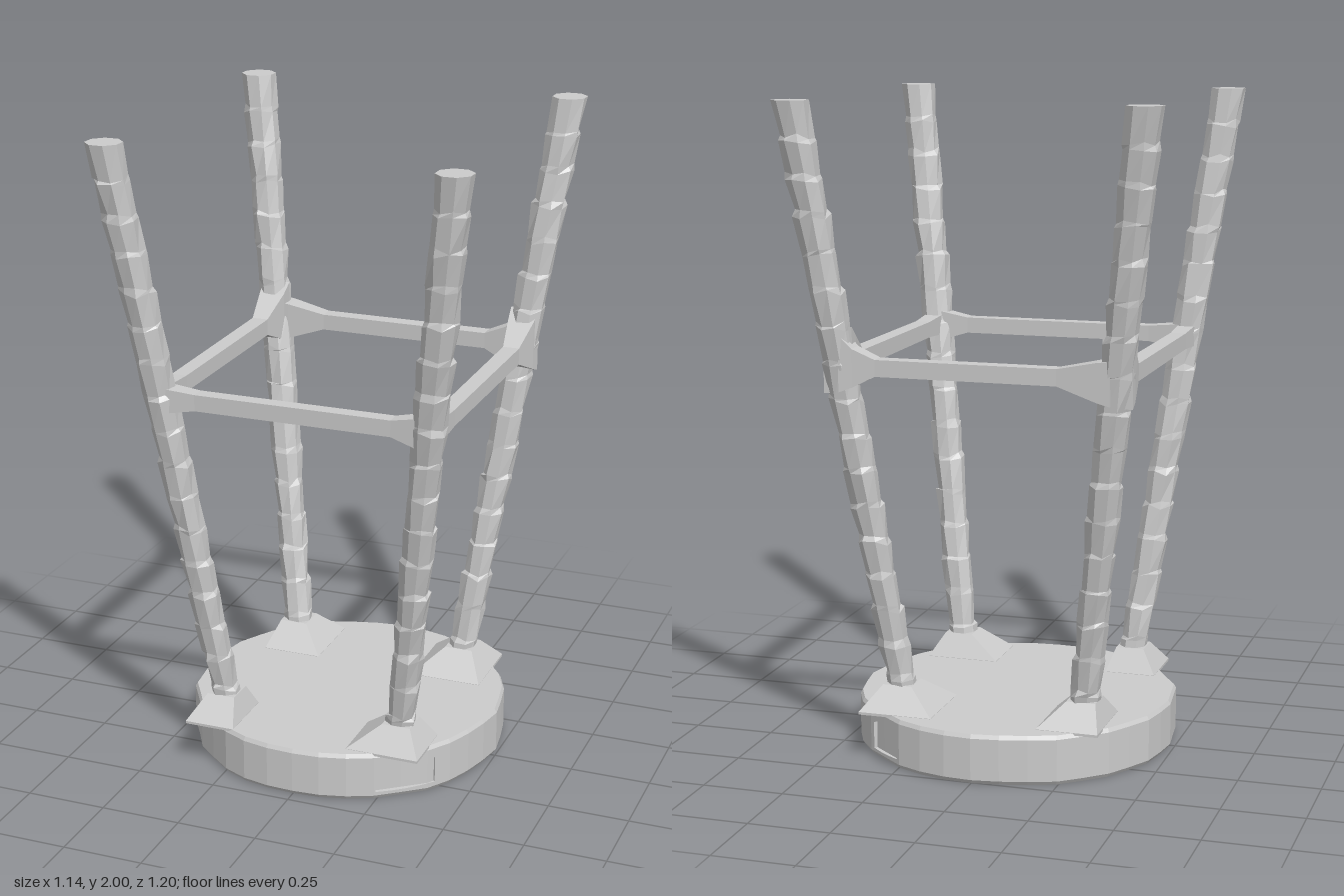
import * as THREE from 'three';

const material = new THREE.MeshStandardMaterial({ color: 0xcccccc, flatShading: true });
const SEAT_Z = -0.02;

// Small seeded noise source in -1..1
function makeNoise(seed) {
  let s = seed;
  return () => {
    s = (s * 16807) % 2147483647;
    return (s / 2147483647) * 2 - 1;
  };
}

// Skin a list of equal-length rings (counter-clockwise about the path) and cap both ends
function loft(rings) {
  const n = rings[0].length;
  const pos = [];
  const tri = (a, b, c) => pos.push(...a, ...b, ...c);
  for (let i = 0; i < rings.length - 1; i++) {
    for (let j = 0; j < n; j++) {
      const k = (j + 1) % n;
      const a = rings[i][j], b = rings[i][k], c = rings[i + 1][k], d = rings[i + 1][j];
      tri(a, b, c);
      tri(a, c, d);
    }
  }
  const first = rings[0], last = rings[rings.length - 1];
  for (let j = 1; j < n - 1; j++) {
    tri(first[0], first[j + 1], first[j]);
    tri(last[0], last[j], last[j + 1]);
  }
  const geometry = new THREE.BufferGeometry();
  geometry.setAttribute('position', new THREE.Float32BufferAttribute(pos, 3));
  geometry.computeVertexNormals();
  return geometry;
}

function part(name, geometry) {
  const mesh = new THREE.Mesh(geometry, material);
  mesh.name = name;
  return mesh;
}

// Splayed octagonal leg, its bark cut into short overlapping plates
function legGeometry(sx, sz, seed) {
  const noise = makeNoise(seed);
  const plates = 17, sides = 8, y0 = 0.14, y1 = 2;
  const rings = [];
  const ring = (t, grow, rough) => {
    const r = 0.045 + 0.008 * t + grow;
    const cx = sx * (0.28 + 0.24 * t), cz = sz * (0.285 + 0.262 * t);
    const points = [];
    for (let j = 0; j < sides; j++) {
      const a = ((j + 0.5) / sides) * Math.PI * 2;
      const rr = r + noise() * 0.005 * rough;
      const y = y0 + (y1 - y0) * t + noise() * 0.009 * rough;
      points.push([cx + Math.sin(a) * rr, y, cz + Math.cos(a) * rr]);
    }
    return points;
  };
  for (let i = 0; i < plates; i++) {
    const end = i === plates - 1;
    rings.push(ring(i / plates + (i ? 0.004 : 0), -0.002, i ? 1 : 0));
    rings.push(ring((i + 1) / plates - (end ? 0 : 0.004), 0.002, end ? 0 : 1));
  }
  return loft(rings);
}

// Rail along x from sections [x, yLow, yHigh, halfDepth]
function railGeometry(sections) {
  return loft(sections.map(([x, lo, hi, d]) => [[x, lo, -d], [x, hi, -d], [x, hi, d], [x, lo, d]]));
}

// Four-sided flare from a rectangle on the seat up to the foot of the leg
function flareGeometry(x0, x1, z0, z1, cx, cz) {
  const rect = (a, b, c, d, y) => [[a, y, c], [a, y, d], [b, y, d], [b, y, c]];
  return loft([
    rect(x0, x1, z0, z1, 0.145),
    rect(x0, x1, z0, z1, 0.153),
    rect(cx - 0.045, cx + 0.045, cz - 0.045, cz + 0.045, 0.225),
  ]);
}

// Slightly uneven round slab with worn edges
function seatGeometry() {
  const noise = makeNoise(77);
  const sides = 36;
  const wobble = Array.from({ length: sides }, () => noise() * 0.006);
  const ring = (r, y) => wobble.map((w, j) => {
    const a = (j / sides) * Math.PI * 2;
    return [Math.sin(a) * (r + w), y, SEAT_Z + Math.cos(a) * (r + w)];
  });
  return loft([ring(0.483, 0), ring(0.491, 0.012), ring(0.491, 0.14), ring(0.484, 0.152)]);
}

// Thin curved plate on the rim, spanning angles a0..a1 from the front
function rimPlateGeometry(a0, a1) {
  const rings = [];
  const steps = 4;
  for (let i = 0; i <= steps; i++) {
    const a = a0 + ((a1 - a0) * i) / steps;
    const at = (r, y) => [Math.sin(a) * r, y, SEAT_Z + Math.cos(a) * r];
    rings.push([at(0.475, 0.03), at(0.475, 0.112), at(0.499, 0.112), at(0.499, 0.03)].reverse());
  }
  return loft(rings);
}

export function createModel() {
  const model = new THREE.Group();
  model.name = 'upturnedStool';

  // Seat lying on the ground
  model.add(part('seat', seatGeometry()));
  model.add(part('rimPlateFront', rimPlateGeometry(0.53, 0.92)));
  model.add(part('rimPlateBack', rimPlateGeometry(2.35, 2.6)));

  // Legs
  let seed = 1234;
  for (const [sz, end] of [[1, 'front'], [-1, 'back']]) {
    for (const [sx, side] of [[1, 'Left'], [-1, 'Right']]) {
      model.add(part(`${end}${side}Leg`, legGeometry(sx, sz, (seed += 9871))));
    }
  }

  // Flares where the legs meet the seat
  const flares = [
    ['frontLeftFlare', 0.15, 0.38, 0.21, 0.40, 0.29, 0.295],
    ['frontRightFlare', -0.38, -0.22, 0.21, 0.41, -0.29, 0.295],
    ['backLeftFlare', 0.16, 0.39, -0.41, -0.16, 0.29, -0.295],
    ['backRightFlare', -0.36, -0.17, -0.41, -0.17, -0.29, -0.295],
  ];
  for (const [name, ...bounds] of flares) model.add(part(name, flareGeometry(...bounds)));

  // Front and back rails, thickening into the legs
  const back = part('backRail', railGeometry([
    [-0.41, 1.15, 1.28, 0.036], [-0.37, 1.16, 1.275, 0.034], [-0.25, 1.2, 1.25, 0.025],
    [0.3, 1.2, 1.25, 0.025], [0.37, 1.165, 1.28, 0.03], [0.41, 1.15, 1.32, 0.034],
  ]));
  back.position.z = -0.45;
  const front = part('frontRail', railGeometry([
    [-0.41, 1.18, 1.26, 0.03], [-0.3, 1.2, 1.25, 0.023],
    [0.31, 1.2, 1.25, 0.023], [0.41, 1.17, 1.27, 0.03],
  ]));
  front.position.z = 0.438;
  model.add(back, front);

  // Side rails, with a deep gusset at the back leg only
  for (const [sx, side] of [[1, 'left'], [-1, 'right']]) {
    const rail = part(`${side}Rail`, railGeometry([
      [-0.45, 1.14, 1.34, 0.045], [-0.41, 1.155, 1.31, 0.042], [-0.31, 1.198, 1.25, 0.026],
      [0.3, 1.198, 1.248, 0.024], [0.44, 1.19, 1.258, 0.028],
    ]));
    rail.rotation.y = -Math.PI / 2;
    rail.position.x = sx * 0.424;
    model.add(rail);
  }
  return model;
}
